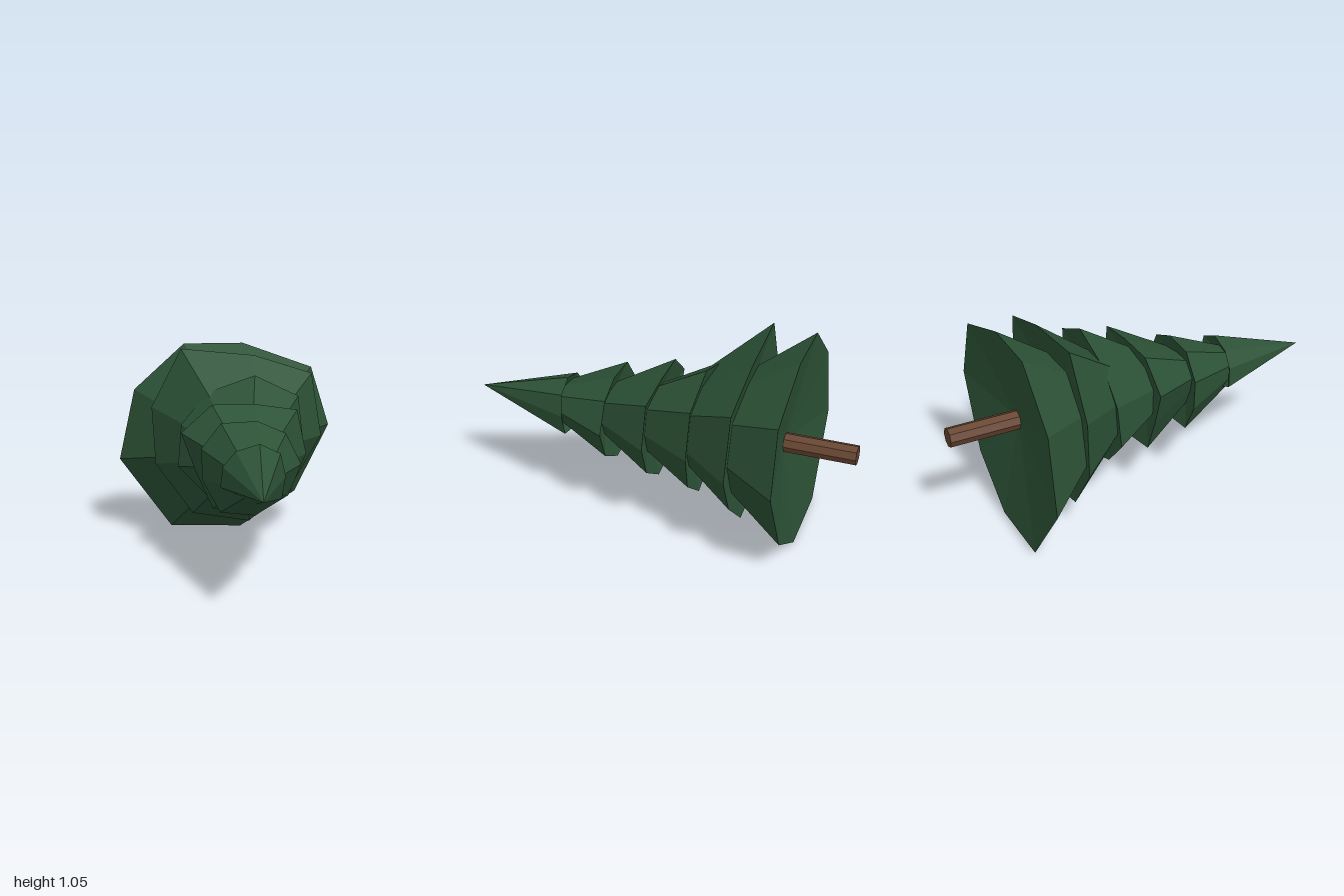
import * as THREE from 'three';

const AXIS_X = 0.05, AXIS_Y = 0.575;

// Directions of the rim corners in degrees, clockwise seen from the tip
const SKIRT_ANGLES = [120, 84, 38, 1, -47, -86, -122, -165, 158];
const UPPER_ANGLES = [122, 78, 40, 0, -38, -82, -120, -162, 160];

// Point on the rim: the reach varies by corner, the rim leans back by tilt
function rimCorner(degrees, radius, z, tilt) {
  const a = THREE.MathUtils.degToRad(degrees);
  return [
    AXIS_X + radius * Math.cos(a),
    AXIS_Y + radius * Math.sin(a),
    z - tilt * Math.sin(a),
  ];
}

// Faceted cone over an uneven rim, closed by a hollowed underside
function tierGeometry(angles, radii, z, height, tilt) {
  const rim = angles.map((angle, i) => rimCorner(angle, radii[i], z, tilt));
  const apex = [AXIS_X + 0.005, AXIS_Y + 0.005, z + height];
  const centre = [AXIS_X, AXIS_Y, z + 0.08];
  const positions = [];
  rim.forEach((corner, i) => {
    const next = rim[(i + 1) % rim.length];
    positions.push(...apex, ...next, ...corner, ...centre, ...corner, ...next);
  });
  const geometry = new THREE.BufferGeometry();
  geometry.setAttribute('position', new THREE.Float32BufferAttribute(positions, 3));
  geometry.computeVertexNormals();
  return geometry;
}

export function createModel() {
  const tree = new THREE.Group();
  tree.name = 'firTree';

  const needles = new THREE.MeshStandardMaterial({ color: 0x2c5236 });
  needles.name = 'needleGreen';
  const bark = new THREE.MeshStandardMaterial({ color: 0x66432f });
  bark.name = 'barkBrown';
  needles.flatShading = bark.flatShading = true;

  function addTier(name, angles, radii, z, height, tilt) {
    const tier = new THREE.Mesh(tierGeometry(angles, radii, z, height, tilt), needles);
    tier.name = name;
    tree.add(tier);
  }

  // Branch tiers from the wide skirt to the tip
  addTier('skirtTier', SKIRT_ANGLES, [0.55, 0.48, 0.55, 0.535, 0.51, 0.575, 0.665, 0.66, 0.595], -0.71, 0.71, -0.008);
  addTier('lowerTier', UPPER_ANGLES, [0.565, 0.45, 0.53, 0.46, 0.4, 0.475, 0.485, 0.465, 0.49], -0.46, 0.58, 0.02);
  addTier('lowerMiddleTier', UPPER_ANGLES, [0.33, 0.375, 0.4, 0.335, 0.33, 0.37, 0.325, 0.345, 0.33], -0.23, 0.59, 0.02);
  addTier('upperMiddleTier', UPPER_ANGLES, [0.305, 0.265, 0.355, 0.32, 0.3, 0.32, 0.32, 0.26, 0.34], 0, 0.52, 0.01);
  addTier('upperTier', UPPER_ANGLES, [0.25, 0.225, 0.245, 0.265, 0.255, 0.26, 0.275, 0.235, 0.245], 0.24, 0.52, 0);
  addTier('tipTier', UPPER_ANGLES, [0.15, 0.165, 0.175, 0.16, 0.18, 0.135, 0.11, 0.16, 0.15], 0.49, 0.51, -0.01);

  // Trunk lying along z, running into the skirt
  const trunk = new THREE.Mesh(new THREE.CylinderGeometry(0.05, 0.05, 0.5, 8), bark);
  trunk.name = 'trunk';
  trunk.rotation.x = Math.PI / 2;
  trunk.position.set(0.048, 0.568, -0.75);
  tree.add(trunk);

  return tree;
}
